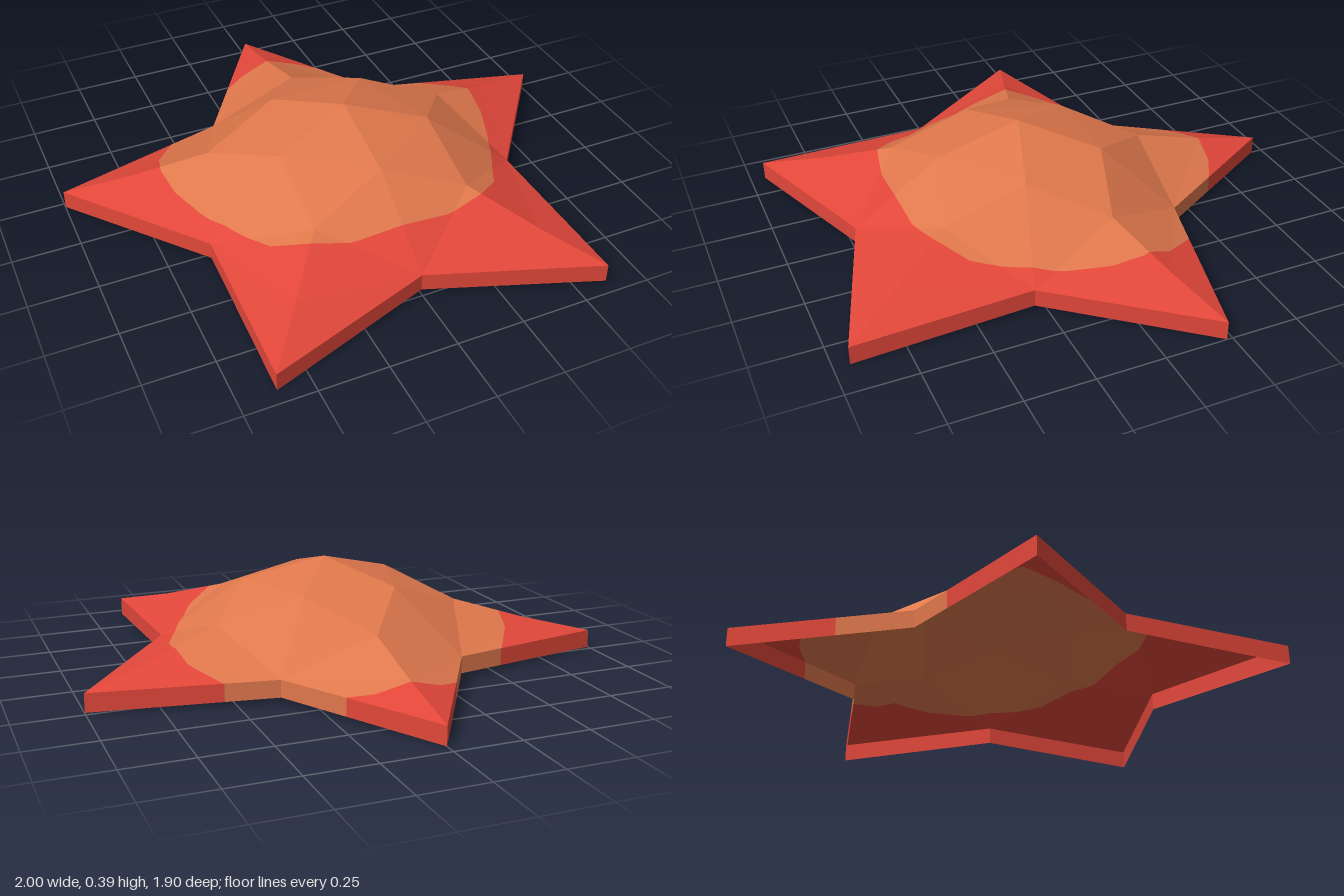
import * as THREE from 'three';

const CENTER_Z = 0.095;

// Point on the star: angle in steps of 36 degrees from the back arm, radius, height
function polar(step, r, y) {
  const a = step * Math.PI / 5;
  return new THREE.Vector3(Math.sin(a) * r, y, CENTER_Z - Math.cos(a) * r);
}

// Rounded outline of the pale centre patch, mirrored from its +x half
const half = [
  [0, -0.69], [0.12, -0.67], [0.21, -0.62], [0.4, -0.49], [0.55, -0.33], [0.63, -0.21], [0.655, -0.1],
  [0.64, 0.02], [0.59, 0.16], [0.52, 0.31], [0.44, 0.46], [0.33, 0.55], [0.18, 0.58], [0, 0.585],
];
const outline = [...half, ...half.slice(1, -1).reverse().map(([x, z]) => [-x, z])];

// Cut a convex polygon along the vertical plane through a and b
function split(poly, a, b) {
  const side = p => (b[0] - a[0]) * (p.z - a[1]) - (b[1] - a[1]) * (p.x - a[0]);
  const inside = [], outside = [];
  poly.forEach((p, i) => {
    const q = poly[(i + 1) % poly.length];
    const s = side(p), t = side(q);
    (s >= 0 ? inside : outside).push(p);
    if (s * t < 0) {
      const cut = p.clone().lerp(q, s / (s - t));
      inside.push(cut);
      outside.push(cut);
    }
  });
  return { inside, outside };
}

// Faceted mesh from convex polygons
function facetMesh(polys, material, name) {
  const pos = [];
  for (const poly of polys) {
    for (let i = 1; i + 1 < poly.length; i++) {
      for (const p of [poly[0], poly[i], poly[i + 1]]) pos.push(p.x, p.y, p.z);
    }
  }
  const geo = new THREE.BufferGeometry();
  geo.setAttribute('position', new THREE.Float32BufferAttribute(pos, 3));
  geo.computeVertexNormals();
  const mesh = new THREE.Mesh(geo, material);
  mesh.name = name;
  return mesh;
}

export function createModel() {
  const red = new THREE.MeshStandardMaterial({ color: 0xe2473a, side: THREE.DoubleSide, flatShading: true });
  red.name = 'coral red';
  const orange = new THREE.MeshStandardMaterial({ color: 0xe0784c, side: THREE.DoubleSide, flatShading: true });
  orange.name = 'soft orange';

  const faces = [];
  const apex = polar(0, 0, 0.39);
  const cornerRadius = [0.596, 0.633, 0.645, 0.633, 0.596];
  const corner = (i, y) => polar(2 * i + 1, cornerRadius[(i + 5) % 5], y);

  for (let i = 0; i < 5; i++) {
    const arm = 2 * i;
    const tip = polar(arm, 1.05, 0.07), tipBase = polar(arm, 1.05, 0);
    const ridge = polar(arm, 0.505, 0.21), ridgeOuter = polar(arm, 0.785, 0.13);
    const shoulders = [polar(arm - 1, 0.312, 0.308), polar(arm + 1, 0.312, 0.308)];
    const corners = [corner(i - 1, 0.085), corner(i, 0.085)];
    const bases = [corner(i - 1, 0.02), corner(i, 0.02)];

    // Domed middle
    faces.push([apex, shoulders[1], shoulders[0]], [ridge, shoulders[0], shoulders[1]]);
    // Two sloping flanks of the arm
    faces.push([shoulders[0], ridge, corners[0]], [ridge, ridgeOuter, corners[0]], [ridgeOuter, tip, corners[0]]);
    faces.push([shoulders[1], corners[1], ridge], [ridge, corners[1], ridgeOuter], [ridgeOuter, corners[1], tip]);
    // Rim walls, open underneath
    faces.push([tipBase, bases[0], corners[0], tip], [bases[1], tipBase, tip, corners[1]]);
  }

  // Divide every facet between the centre patch and the arm tips
  const patch = [], tips = [];
  for (const face of faces) {
    let rest = face;
    for (let i = 0; i < outline.length && rest.length > 2; i++) {
      const { inside, outside } = split(rest, outline[i], outline[(i + 1) % outline.length]);
      if (outside.length > 2) tips.push(outside);
      rest = inside;
    }
    if (rest.length > 2) patch.push(rest);
  }

  const group = new THREE.Group();
  group.name = 'starfish';
  group.add(facetMesh(patch, orange, 'centrePatch'), facetMesh(tips, red, 'armTips'));
  return group;
}
